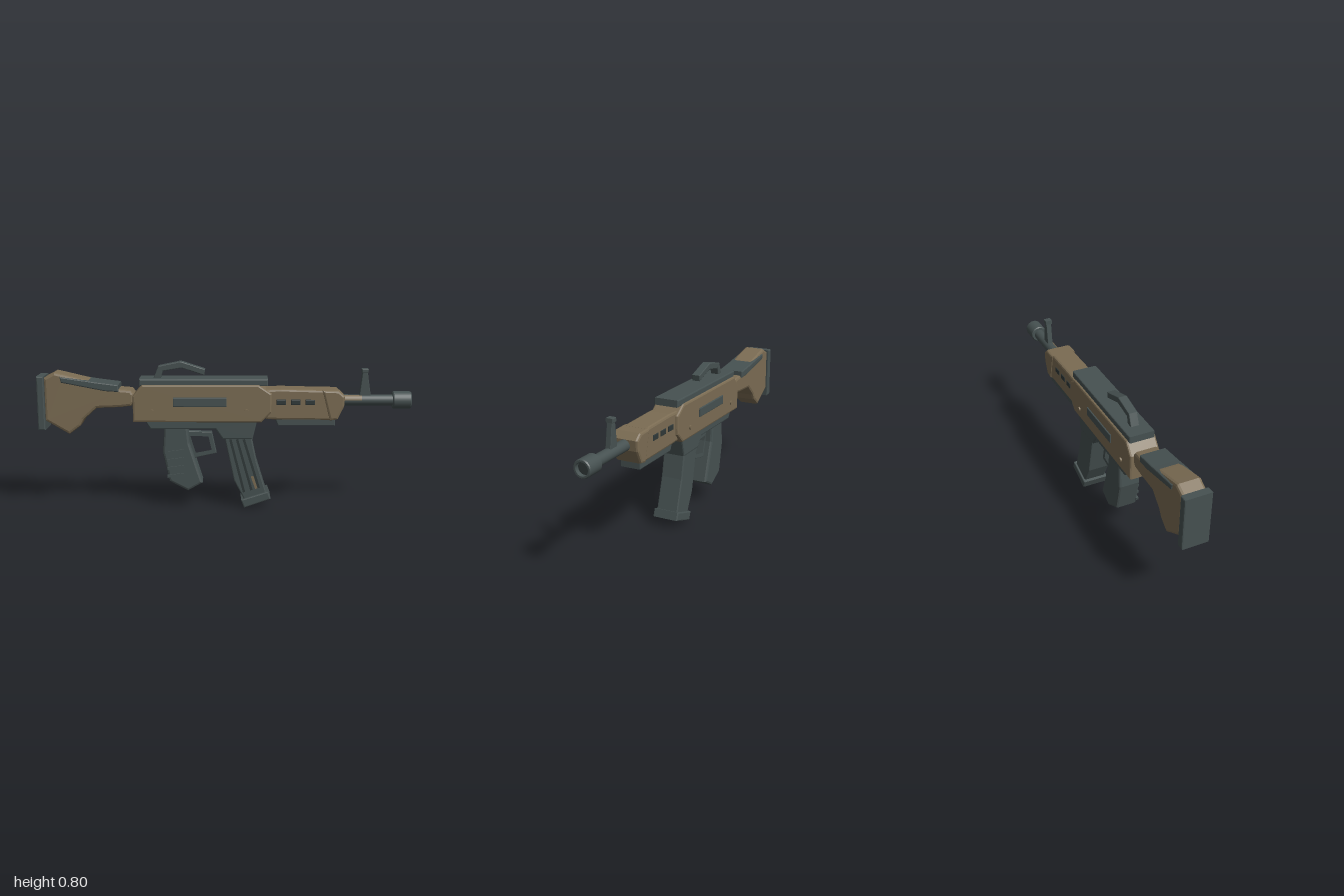
import * as THREE from 'three';

const tan = new THREE.MeshStandardMaterial({ color: 0x7b6c53 });
tan.name = 'tan';
const slate = new THREE.MeshStandardMaterial({ color: 0x465151 });
slate.name = 'slate';
const shadowGrey = new THREE.MeshStandardMaterial({ color: 0x2f3838 });
shadowGrey.name = 'dark grey';

export function createModel() {
  const model = new THREE.Group();
  model.name = 'rifle';

  const add = (name, geometry, material, x = 0, y = 0, z = 0) => {
    const mesh = new THREE.Mesh(geometry, material);
    mesh.name = name;
    mesh.position.set(x, y, z);
    model.add(mesh);
    return mesh;
  };

  // Side profile extruded across z, with softened edges that stay inside the outline
  const slab = (name, points, halfWidth, material, bevel = 0.01, hole = null) => {
    const shape = new THREE.Shape(points.map(([x, y]) => new THREE.Vector2(x, y)));
    if (hole) shape.holes.push(new THREE.Path(hole.map(([x, y]) => new THREE.Vector2(x, y))));
    const geometry = new THREE.ExtrudeGeometry(shape, {
      depth: 2 * (halfWidth - bevel), bevelEnabled: bevel > 0, bevelThickness: bevel,
      bevelSize: bevel, bevelOffset: -bevel, bevelSegments: 2,
    });
    geometry.translate(0, 0, -(halfWidth - bevel));
    return add(name, geometry, material);
  };

  const rect = (x0, x1, y0, y1) => [[x0, y0], [x1, y0], [x1, y1], [x0, y1]];

  // Thin straight strip on a side face between two points
  const strip = (name, [x0, y0], [x1, y1], width, depth, z, material) => {
    const geometry = new THREE.BoxGeometry(Math.hypot(x1 - x0, y1 - y0), width, depth);
    const mesh = add(name, geometry, material, (x0 + x1) / 2, (y0 + y1) / 2, z);
    mesh.rotation.z = Math.atan2(y1 - y0, x1 - x0);
  };

  // Stock
  slab('buttPad', rect(-1, -0.96, 0.435, 0.725), 0.073, slate, 0.007);
  slab('stock', [[-0.962, 0.715], [-0.905, 0.745], [-0.86, 0.735], [-0.74, 0.706], [-0.57, 0.656],
    [-0.5, 0.65], [-0.485, 0.63], [-0.485, 0.585], [-0.5, 0.565], [-0.56, 0.558], [-0.685, 0.553],
    [-0.755, 0.49], [-0.775, 0.455], [-0.835, 0.41], [-0.962, 0.485]], 0.064, tan, 0.014);
  slab('cheekRest', [[-0.875, 0.722], [-0.74, 0.704], [-0.69, 0.696], [-0.565, 0.68], [-0.565, 0.642],
    [-0.64, 0.647], [-0.87, 0.692]], 0.071, slate, 0.006);

  // Receiver, top rail and carrying handle
  slab('receiver', [[-0.49, 0.48], [-0.49, 0.62], [-0.44, 0.682], [0.18, 0.682], [0.25, 0.635],
    [0.25, 0.535], [0.195, 0.48]], 0.081, tan, 0.01);
  slab('topRail', rect(-0.455, 0.23, 0.674, 0.712), 0.07, slate, 0.006);
  slab('carryHandle', [[-0.385, 0.7], [-0.355, 0.775], [-0.235, 0.8], [-0.105, 0.758], [-0.11, 0.726],
    [-0.23, 0.765], [-0.332, 0.748], [-0.345, 0.7]], 0.024, slate, 0.004);
  slab('sidePanels', rect(-0.275, 0.01, 0.566, 0.615), 0.088, slate, 0.004);
  for (const x of [-0.39, 0.115]) {
    const pin = add('receiverPin', new THREE.CylinderGeometry(0.012, 0.012, 0.178, 10), tan, x, 0.54, 0);
    pin.rotation.x = Math.PI / 2;
  }

  // Handguard with side vents
  slab('handguard', [[0.22, 0.495], [0.22, 0.655], [0.3, 0.658], [0.54, 0.652], [0.57, 0.49],
    [0.28, 0.492]], 0.066, tan, 0.012);
  slab('handguardCap', [[0.518, 0.652], [0.605, 0.65], [0.64, 0.62], [0.636, 0.565], [0.603, 0.495],
    [0.56, 0.488]], 0.074, tan, 0.012);
  slab('handguardUnderside', [[0.265, 0.505], [0.59, 0.505], [0.59, 0.458], [0.285, 0.458]],
    0.058, slate, 0.006);
  for (const x of [0.301, 0.378, 0.455]) {
    slab('handguardVent', rect(x - 0.025, x + 0.025, 0.573, 0.602), 0.07, shadowGrey, 0.003);
  }

  // Barrel and muzzle
  const alongX = (name, geometry, material, x) => {
    const mesh = add(name, geometry, material, x, 0.59, 0);
    mesh.rotation.z = -Math.PI / 2;
    return mesh;
  };
  alongX('barrel', new THREE.CylinderGeometry(0.03, 0.03, 0.32, 24), slate, 0.76);
  const muzzleProfile = [[0, 0], [0.042, 0], [0.047, 0.006], [0.047, 0.094], [0.043, 0.1],
    [0.034, 0.1], [0.034, 0.075]].map(([r, y]) => new THREE.Vector2(r, y));
  for (let i = 0; i < muzzleProfile.length - 1; i++) {
    alongX('muzzle', new THREE.LatheGeometry(muzzleProfile.slice(i, i + 2), 28), slate, 0.9);
  }
  alongX('bore', new THREE.CylinderGeometry(0.034, 0.034, 0.004, 28), shadowGrey, 0.974);
  // Tan patch on the upper front of the barrel
  alongX('barrelPatch', new THREE.CylinderGeometry(0.0305, 0.0305, 0.1, 8, 1, true, -Math.PI / 2 + 0.45,
    Math.PI / 2 - 0.5), tan, 0.685);

  // Front sight
  slab('frontSightPost', [[0.722, 0.605], [0.737, 0.745], [0.763, 0.745], [0.785, 0.605]], 0.015, slate, 0.003);
  slab('frontSightTop', rect(0.733, 0.767, 0.738, 0.76), 0.02, slate, 0.003);

  // Lower receiver, grip and trigger guard
  slab('lowerReceiver', [[-0.43, 0.49], [-0.4, 0.44], [-0.05, 0.44], [-0.012, 0.385], [0.15, 0.385],
    [0.175, 0.49]], 0.066, slate, 0.008);
  slab('grip', [[-0.325, 0.455], [-0.2, 0.455], [-0.19, 0.36], [-0.12, 0.14], [-0.2, 0.095],
    [-0.3, 0.148], [-0.335, 0.31]], 0.06, slate, 0.012);
  for (let i = 0; i < 4; i++) {
    const y = 0.178 + i * 0.044;
    strip('gripRib', [-0.31, y], [-0.22, y + 0.012], 0.014, 0.014, 0.061, slate);
  }
  slab('triggerGuard', [[-0.215, 0.42], [-0.07, 0.415], [-0.045, 0.298], [-0.165, 0.272]], 0.02, slate, 0.003,
    [[-0.19, 0.396], [-0.086, 0.394], [-0.068, 0.314], [-0.16, 0.296]]);

  // Curved magazine with grooves on the front face
  slab('magazine', [[-0.002, 0.4], [0.143, 0.4], [0.172, 0.26], [0.228, 0.08], [0.11, 0.04],
    [0.05, 0.155]], 0.062, slate, 0.006);
  slab('magazineBase', [[0.088, 0.048], [0.235, 0.096], [0.25, 0.053], [0.105, 0.003]], 0.073, slate, 0.006);
  for (let i = 0; i < 3; i++) {
    strip('magazineGroove', [0.03 + i * 0.036, 0.385], [0.105 + i * 0.04, 0.09 + i * 0.012],
      0.013, 0.004, 0.063, shadowGrey);
  }
  strip('magazineStripe', [0.148, 0.18], [0.172, 0.11], 0.014, 0.004, 0.063, tan);

  return model;
}
